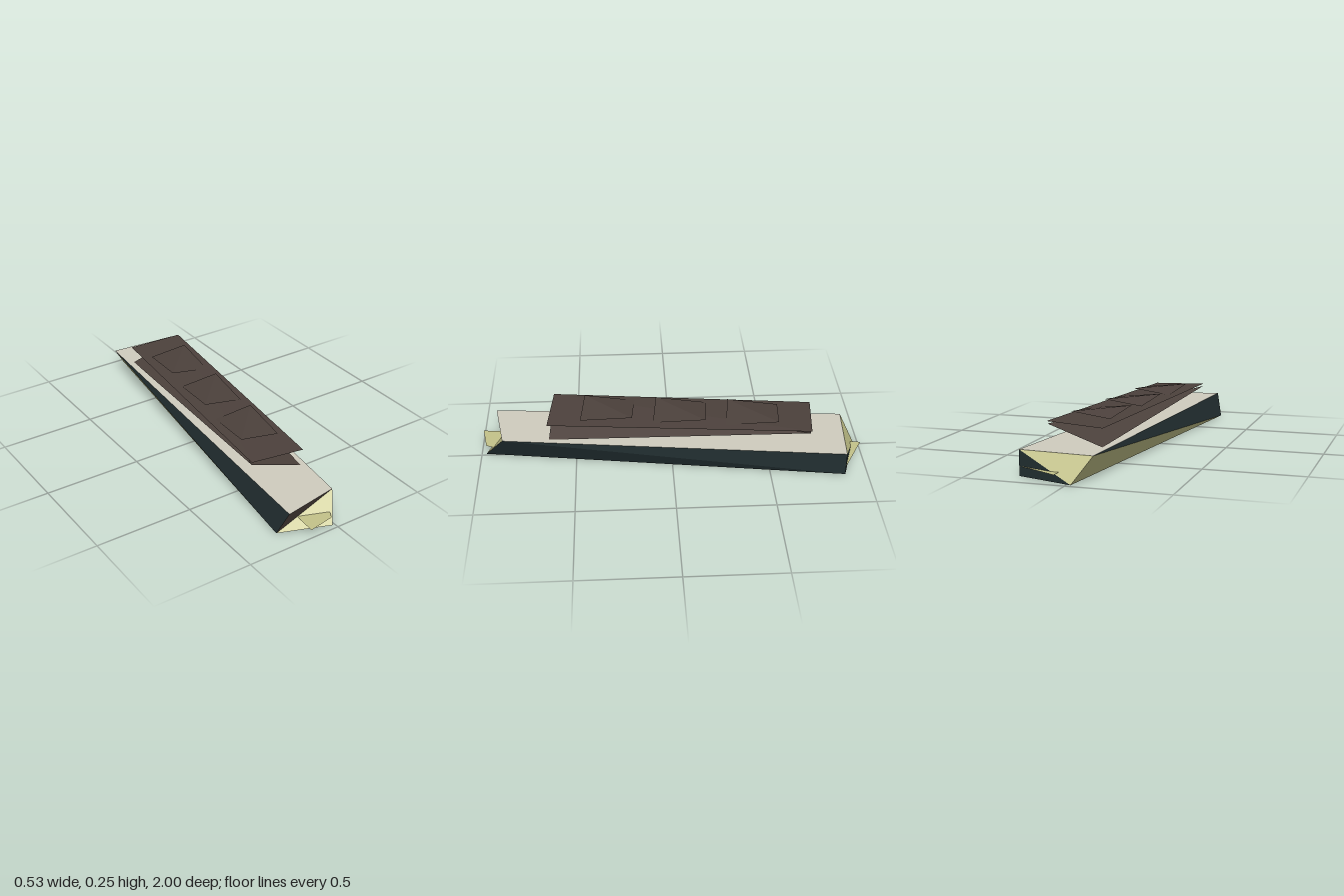
import * as THREE from 'three';

const mat = (name, color, side = THREE.FrontSide) => {
  const m = new THREE.MeshStandardMaterial({ color, side });
  m.name = name;
  return m;
};

// Mesh with crisp facets from a list of triangles, each three [x, y, z] corners
function facets(name, material, triangles) {
  const geometry = new THREE.BufferGeometry();
  geometry.setAttribute('position', new THREE.Float32BufferAttribute(triangles.flat(2), 3));
  geometry.computeVertexNormals();
  const mesh = new THREE.Mesh(geometry, material);
  mesh.name = name;
  return mesh;
}

// Folded wedge: high ridge from front-left to back-right, low keel across it.
// Corners are [x, z] pairs.
function wedge(name, material, [fl, fr, br, bl], low, high) {
  const at = ([x, z], y) => [x, y, z];
  const a = at(fl, high), b = at(br, high), c = at(fr, low), d = at(bl, low);
  return facets(name, material, [[a, c, b], [a, b, d], [a, d, c], [b, c, d]]);
}

// Horizontal sheet as a fan of [x, z] points
function sheet(name, material, points, y) {
  const p = points.map(([x, z]) => [x, y, z]);
  const triangles = [];
  for (let i = 1; i < p.length - 1; i++) triangles.push([p[0], p[i], p[i + 1]]);
  return facets(name, material, triangles);
}

export function createModel() {
  const group = new THREE.Group();
  const cream = mat('cream', 0xcfccbe);
  const yellow = mat('pale yellow', 0xc3c289, THREE.DoubleSide);
  const brown = mat('dark brown', 0x4c413c);
  const teal = mat('dark teal', 0x222f31);

  // Wrapper block: upper corners in capitals, lower corners in small letters
  const h = 0.125;
  const FL = [-0.235, h, 0.93], FR = [0.055, h, 0.88], BR = [0.265, h, -0.885], BL = [-0.105, h, -0.912];
  const fl = [-0.268, 0, 0.88], fr = [-0.012, 0, 0.977], br = [0.265, 0, -0.885], bl = [-0.02, 0, -0.977];
  group.add(
    facets('wrapperTop', cream, [[FL, FR, BR], [FL, BR, BL]]),
    facets('wrapperBody', teal, [
      [fl, bl, br], [fl, br, fr],
      [FR, fr, br], [FR, br, BR],
      [BR, br, bl], [BL, fl, FL],
    ]),
    facets('wrapperFolds', yellow, [[fl, fr, FR], [BR, bl, BL], [BL, bl, fl]]),
    facets('wrapperOpening', brown, [[FL, fl, FR]]),
  );

  // Loose foil flaps at both ends
  group.add(
    sheet('frontFlap', yellow, [[-0.16, 1.0], [-0.02, 0.975], [0.003, 0.93], [-0.03, 0.9], [-0.148, 0.88]], 0.047),
    sheet('backFlap', yellow, [[0.265, -0.885], [0.05, -1.0], [0.045, -0.945], [0.06, -0.9]], 0.047),
  );

  // Bar and its thin upper plate
  const plan = [[-0.222, 0.615], [0.06, 0.645], [0.2, -0.708], [-0.09, -0.74]];
  const barPlan = [[-0.222, 0.614], [0.055, 0.638], [0.197, -0.703], [-0.085, -0.73]];
  group.add(
    wedge('bar', brown, barPlan, h, 0.215),
    wedge('barPlate', brown, plan, 0.216, 0.228),
  );

  // Three raised squares along the bar
  const square = [[-0.128, 0.075], [0.075, 0.098], [0.1, -0.17], [-0.103, -0.187]];
  for (let i = -1; i <= 1; i++) {
    const corners = square.map(([x, z]) => [x - 0.039 * i, z + 0.375 * i]);
    group.add(wedge('raisedSquare' + (i + 2), brown, corners, 0.226, 0.25));
  }
  return group;
}
